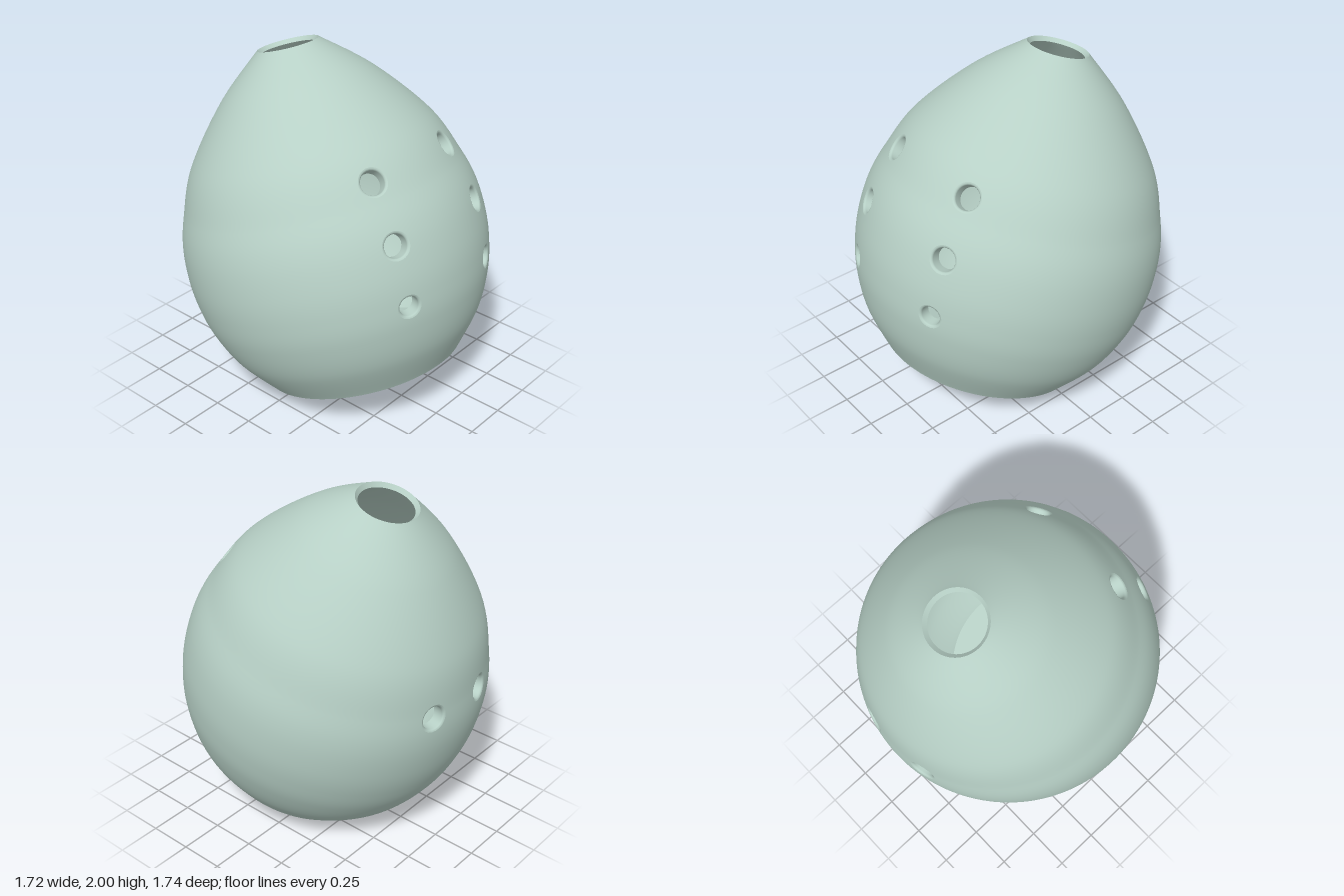
import * as THREE from 'three';
import { mergeVertices } from 'three/addons/utils/BufferGeometryUtils.js';

const NU = 144, NV = 72;               // grid around and along the shell
const TILT = 0.309, BASE_Y = 0.178, BASE_Z = 0.215;
const STEP = (Math.PI * 2) / NU;

// Egg profile (radius, height along the tilted axis)
const profile = new THREE.SplineCurve([
  [0.573, 0], [0.724, 0.2], [0.811, 0.394], [0.849, 0.56], [0.86, 0.72], [0.844, 0.9],
  [0.794, 1.068], [0.683, 1.32], [0.434, 1.63], [0.172, 1.858],
].map(([r, s]) => new THREE.Vector2(r, s)));
profile.arcLengthDivisions = 500;
const LENGTH = profile.getLength();

// Wall thins towards the mouth
const thickness = (u) => 0.07 - 0.04 * THREE.MathUtils.smoothstep(u, 0.82, 1);

// Point and outward normal on the shell, sunk by a depth below the outside
function shellPoint(theta, u, depth) {
  const v = THREE.MathUtils.clamp(u, 0, 1);
  const p = profile.getPointAt(v), t = profile.getTangentAt(v);
  const r = p.x - t.y * depth, s = p.y + t.x * depth;
  const sin = Math.sin(theta), cos = Math.cos(theta);
  return {
    position: new THREE.Vector3(r * sin, s, r * cos),
    normal: new THREE.Vector3(t.y * sin, -t.x, t.y * cos),
  };
}

// Finger hole: place it on the shell and reserve a block of grid cells
function makeHole([x, y, z, radius]) {
  const p = new THREE.Vector3(x, y - BASE_Y, z - BASE_Z).applyAxisAngle(new THREE.Vector3(1, 0, 0), TILT);
  let low = 0, high = 1;
  for (let k = 0; k < 30; k++) {
    const mid = (low + high) / 2;
    if (profile.getPointAt(mid).y < p.y) low = mid; else high = mid;
  }
  const theta = Math.atan2(p.x, p.z), u = low, r = profile.getPointAt(u).x;
  const hw = Math.ceil((radius + 0.03) / (STEP * r) + 0.5);
  const hv = Math.ceil((radius + 0.03) / (LENGTH / NV) + 0.5);
  const i0 = Math.round(theta / STEP) - hw, j0 = Math.round(u * NV) - hv;
  const i1 = i0 + 2 * hw, j1 = j0 + 2 * hv;
  const border = [];
  for (let i = i0; i < i1; i++) border.push([i, j0]);
  for (let j = j0; j < j1; j++) border.push([i1, j]);
  for (let i = i1; i > i0; i--) border.push([i, j1]);
  for (let j = j1; j > j0; j--) border.push([i0, j]);
  const loop = border.map(([i, j]) => [i * STEP, j / NV]);
  const circle = (rad) => loop.map(([a, b]) => {
    const phi = Math.atan2((b - u) * LENGTH, (a - theta) * r);
    return [theta + rad * Math.cos(phi) / r, u + rad * Math.sin(phi) / LENGTH];
  });
  return { radius, u, i0, i1, j0, j1, loop, circle };
}

// Shell skin with a ring of faces around every hole
function skinGeometry(holes, depthAt, lip, inward) {
  const pos = [], nor = [];
  const quad = (a, b, c, d) => {
    const order = inward ? [a, c, b, a, d, c] : [a, b, c, a, c, d];
    for (const [theta, u] of order) {
      const q = shellPoint(theta, u, depthAt(u));
      if (inward) q.normal.negate();
      pos.push(...q.position);
      nor.push(...q.normal);
    }
  };
  const blocked = new Set();
  for (const h of holes)
    for (let i = h.i0; i < h.i1; i++)
      for (let j = h.j0; j < h.j1; j++) blocked.add(((i + NU) % NU) * NV + j);
  for (let i = 0; i < NU; i++)
    for (let j = 0; j < NV; j++) {
      if (blocked.has(i * NV + j)) continue;
      const a = i * STEP, b = a + STEP, c = j / NV, d = (j + 1) / NV;
      quad([a, c], [b, c], [b, d], [a, d]);
    }
  for (const h of holes) {
    const inner = h.circle(h.radius + lip);
    const middle = h.loop.map(([a, b], k) => [(a + inner[k][0]) / 2, (b + inner[k][1]) / 2]);
    for (const [from, to] of [[h.loop, middle], [middle, inner]])
      from.forEach((p, k) => {
        const n = (k + 1) % from.length;
        quad(p, from[n], to[n], to[k]);
      });
  }
  const geo = new THREE.BufferGeometry();
  geo.setAttribute('position', new THREE.Float32BufferAttribute(pos, 3));
  geo.setAttribute('normal', new THREE.Float32BufferAttribute(nor, 3));
  return mergeVertices(geo, 1e-5);
}

// Smooth strip through closed rings of points
function loftGeometry(rings) {
  const n = rings[0].length, index = [];
  for (let k = 0; k < rings.length - 1; k++)
    for (let i = 0; i < n; i++) {
      const a = k * n + i, b = k * n + (i + 1) % n;
      index.push(a, b, b + n, a, b + n, a + n);
    }
  const geo = new THREE.BufferGeometry().setFromPoints(rings.flat());
  geo.setIndex(index);
  geo.computeVertexNormals();
  return geo;
}

export function createModel() {
  const glaze = new THREE.MeshStandardMaterial({ color: 0xb7d0c6 });
  glaze.name = 'pale green glaze';
  const body = new THREE.Group();
  body.name = 'tiltedBody';
  const add = (name, geometry) => {
    const mesh = new THREE.Mesh(geometry, glaze);
    mesh.name = name;
    body.add(mesh);
    return mesh;
  };

  // Three pairs of holes in front, one pair behind: x, y, z, radius
  const holes = [];
  for (const [x, y, z, r] of [
    [0.3, 1.51, 0.5, 0.066], [0.337, 1.228, 0.69, 0.064],
    [0.335, 0.905, 0.79, 0.055], [0.2, 0.945, -0.84, 0.066],
  ]) for (const side of [1, -1]) holes.push(makeHole([side * x, y, z, r]));

  add('outerShell', skinGeometry(holes, () => 0, 0.014, false));
  add('innerShell', skinGeometry(holes, thickness, 0, true));

  // Hole walls with a softened outer lip
  for (const h of holes) {
    const wall = [[0.014, 0], [0.008, 0.002], [0.003, 0.006], [0, 0.014], [0, thickness(h.u)]];
    add('fingerHole', loftGeometry(wall.map(([extra, depth]) =>
      h.circle(h.radius + extra).map(([a, b]) => shellPoint(a, b, depth).position))));
  }

  // Mouth rim
  add('mouthRim', loftGeometry([0, thickness(1)].map((depth) =>
    Array.from({ length: NU }, (_, i) => shellPoint(i * STEP, 1, depth).position))));

  // Flat base outside and floor inside
  add('base', new THREE.CircleGeometry(0.573, NU).rotateX(Math.PI / 2));
  const edge = shellPoint(0, 0, thickness(0)).position;
  add('floor', new THREE.CircleGeometry(edge.z, NU).rotateX(-Math.PI / 2)).position.y = edge.y;

  body.rotation.x = -TILT;
  body.position.set(0, BASE_Y, BASE_Z);
  const model = new THREE.Group();
  model.name = 'eggVessel';
  model.add(body);
  return model;
}
